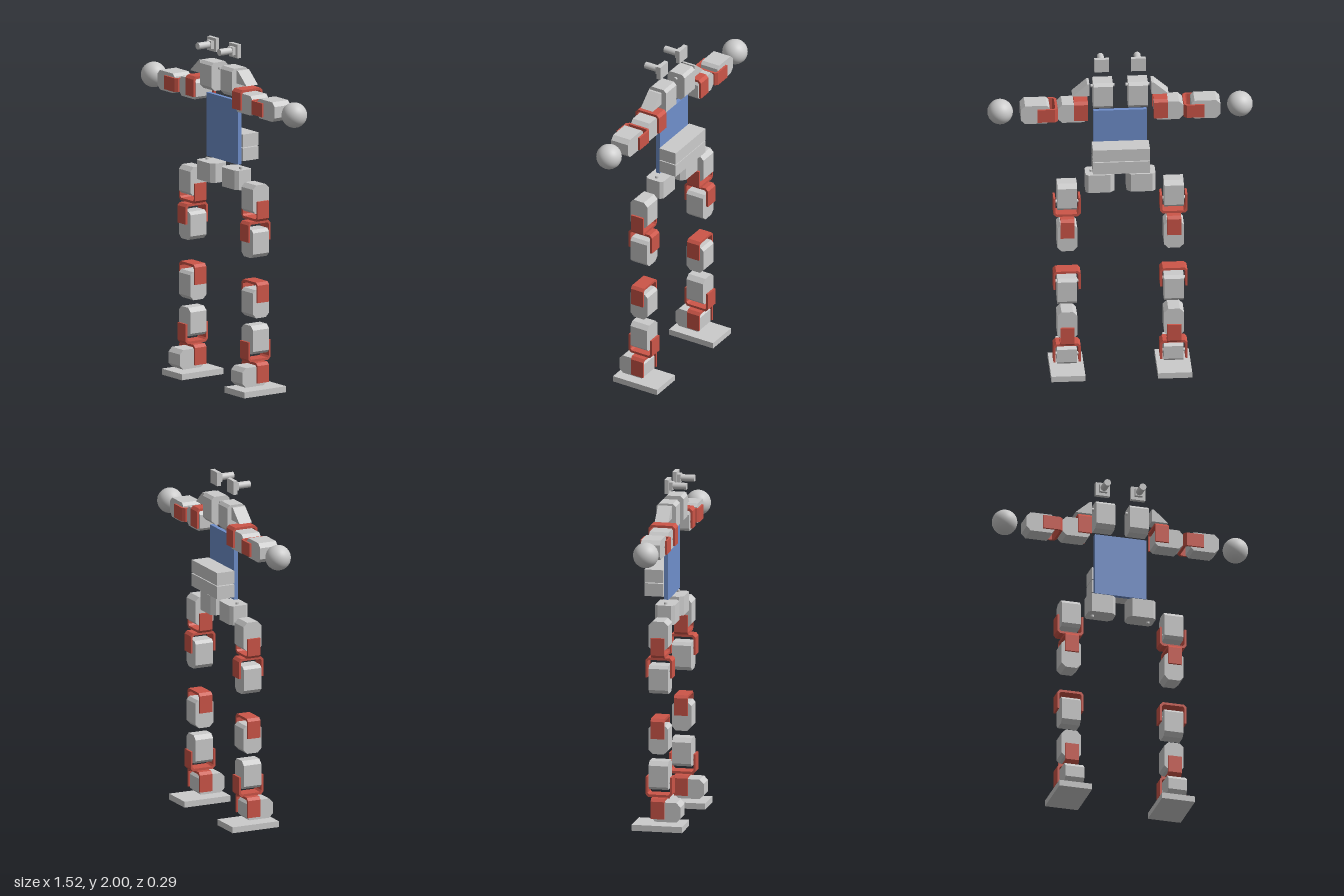
import * as THREE from 'three';

const mat = (color) => new THREE.MeshStandardMaterial({ color, flatShading: true });
const grey = mat(0xcccccc), red = mat(0xcc5548), blue = mat(0x6f8fcc);
const smoothGrey = new THREE.MeshStandardMaterial({ color: 0xcccccc });

function mesh(name, geometry, material, x = 0, y = 0, z = 0) {
  const m = new THREE.Mesh(geometry, material);
  m.name = name;
  m.position.set(x, y, z);
  return m;
}

// Extrudes a 2D outline, centred on its depth
function prism(points, depth) {
  const shape = new THREE.Shape(points.map(([x, y]) => new THREE.Vector2(x, y)));
  return new THREE.ExtrudeGeometry(shape, { depth, bevelEnabled: false }).translate(0, 0, -depth / 2);
}

// Motor case: shaft along x at the origin, shaft end at +y, corners cut
const half = 0.057, top = 0.035, bottom = -0.13, c1 = 0.017, c2 = 0.024;
const caseGeometry = prism([
  [-half + c2, bottom], [half - c2, bottom], [half, bottom + c2], [half, top - c1],
  [half - c1, top], [-half + c1, top], [-half, top - c1], [-half, bottom + c2],
], 0.112).rotateY(Math.PI / 2);
const shaftGeometry = new THREE.CylinderGeometry(0.01, 0.01, 0.136, 16).rotateZ(Math.PI / 2);

// U bracket: arms at +-x around the shaft, base at +y, bent corners cut
const bracketGeometry = prism([
  [-0.078, -0.037], [-0.066, -0.037], [-0.066, 0.056], [-0.057, 0.066], [0.057, 0.066], [0.066, 0.056],
  [0.066, -0.037], [0.078, -0.037], [0.078, 0.064], [0.063, 0.08], [-0.063, 0.08], [-0.078, 0.064],
], 0.08);

const X = [1, 0, 0], Y = [0, 1, 0], Z = [0, 0, 1], DOWN = [0, -1, 0], IN = [-1, 0, 0], BACK = [0, 0, -1];

// Places an object at a pivot, with its shaft on axis and its +y end along up
function aim(object, pivot, axis, up, side) {
  const a = new THREE.Vector3(...axis), u = new THREE.Vector3(up[0] * side, up[1], up[2]);
  const basis = new THREE.Matrix4().makeBasis(a, u, a.clone().cross(u));
  object.quaternion.setFromRotationMatrix(basis);
  object.position.set(pivot[0] * side, pivot[1], pivot[2]);
  return object;
}

function servo(name) {
  const g = new THREE.Group();
  g.name = name;
  g.add(mesh('motorCase', caseGeometry, grey), mesh('motorShaft', shaftGeometry, smoothGrey));
  return g;
}

// name, pivot, shaft axis, direction of shaft end, direction of bracket base (if any)
const joints = [
  ['hipTurn', [0.165, 1.222, 0], Y, X, null],
  ['hipPitch', [0.305, 1.09, 0], X, DOWN, DOWN],
  ['hipRoll', [0.305, 0.925, 0], Z, Y, Y],
  ['knee', [0.305, 0.575, 0], X, Y, Y],
  ['ankleRoll', [0.305, 0.27, 0], Z, DOWN, DOWN],
  ['anklePitch', [0.305, 0.107, 0], X, BACK, Y],
  ['shoulderPitch', [0.1, 1.83, 0], X, Y, null],
  ['shoulderRoll', [0.228, 1.682, 0], Z, IN, Y],
  ['elbow', [0.44, 1.682, 0], Z, IN, IN],
];

function buildSide(side) {
  const g = new THREE.Group();
  g.name = side > 0 ? 'leftSide' : 'rightSide';
  for (const [name, pivot, axis, shaftEnd, base] of joints) {
    g.add(aim(servo(name + 'Motor'), pivot, axis, shaftEnd, side));
    if (base) g.add(aim(mesh(name + 'Bracket', bracketGeometry, red), pivot, axis, base, side));
  }

  // Sloped shoulder mount
  g.add(mesh('shoulderMount', prism(
    [[0.177 * side, 1.783], [0.275 * side, 1.783], [0.19 * side, 1.858], [0.177 * side, 1.858]], 0.08), grey));

  // Hand and foot
  g.add(mesh('hand', new THREE.SphereGeometry(0.073, 32, 24), smoothGrey, 0.685 * side, 1.682, 0));
  g.add(mesh('foot', new THREE.BoxGeometry(0.195, 0.035, 0.294), grey, 0.305 * side, 0.0175, 0));

  // Eye: board, housing and lens barrel
  const eye = new THREE.Group();
  eye.name = 'eye';
  eye.position.set(0.105 * side, 1.96, 0);
  eye.add(
    mesh('eyeBoard', new THREE.BoxGeometry(0.084, 0.08, 0.024), grey),
    mesh('eyeHousing', new THREE.BoxGeometry(0.046, 0.046, 0.02), grey, 0, 0, 0.022),
    mesh('eyeBarrel', new THREE.CylinderGeometry(0.02, 0.02, 0.08, 24).rotateX(Math.PI / 2), smoothGrey, 0, 0, 0.07),
  );
  g.add(eye);
  return g;
}

export function createModel() {
  const model = new THREE.Group();
  model.name = 'robot';

  // Chest board and the two packs on its back
  model.add(mesh('chestPlate', new THREE.BoxGeometry(0.305, 0.37, 0.024), blue, 0, 1.487, 0));
  for (const y of [1.358, 1.438]) {
    model.add(mesh('batteryPack', new THREE.BoxGeometry(0.325, 0.075, 0.11), grey, 0, y, -0.07));
  }

  for (const side of [1, -1]) model.add(buildSide(side));
  return model;
}
